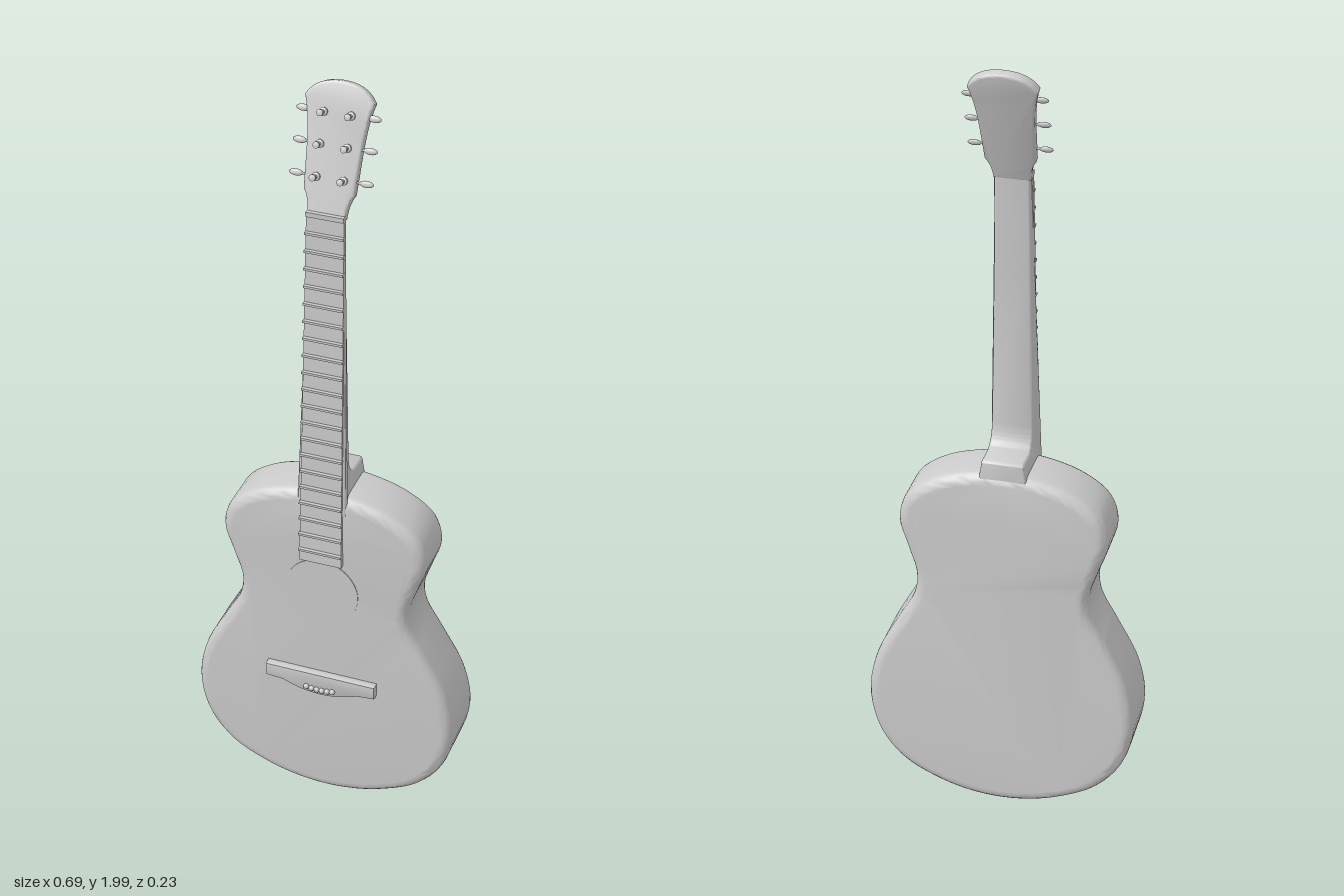
import * as THREE from 'three';
import { toCreasedNormals } from 'three/addons/utils/BufferGeometryUtils.js';

const material = new THREE.MeshStandardMaterial({ color: 0xcccccc, roughness: 0.7 });

// Front surface of the fretboard, sloping back towards the nut
const boardZ = (y) => 0.1 - 0.042 * (y - 0.75);

function add(parent, name, geometry, x = 0, y = 0, z = 0) {
  const mesh = new THREE.Mesh(geometry, material);
  mesh.name = name;
  mesh.position.set(x, y, z);
  parent.add(mesh);
  return mesh;
}

// Full symmetric shape from its right half, listed bottom to top
function mirrored(half) {
  const left = half.filter(([x]) => x > 0).reverse().map(([x, y]) => [-x, y]);
  return [...half, ...left];
}

function smoothShape(points, count) {
  const curve = new THREE.CatmullRomCurve3(
    points.map(([x, y]) => new THREE.Vector3(x, y, 0)), true, 'centripetal');
  const samples = curve.getPoints(count).slice(0, -1);
  return new THREE.Shape(samples.map((p) => new THREE.Vector2(p.x, p.y)));
}

const straightShape = (points) => new THREE.Shape(points.map(([x, y]) => new THREE.Vector2(x, y)));

// Extrusion whose rounded edges stay inside the outline; z runs 0..depth
function slab(shape, depth, round, segments = 4) {
  const geometry = new THREE.ExtrudeGeometry(shape, {
    depth: depth - 2 * round, bevelEnabled: round > 0, bevelThickness: round,
    bevelSize: round, bevelOffset: -round, bevelSegments: segments, curveSegments: 16,
  });
  return geometry.translate(0, 0, round);
}

function moveVertices(geometry, rule) {
  const pos = geometry.attributes.position;
  const v = new THREE.Vector3();
  for (let i = 0; i < pos.count; i++) {
    rule(v.fromBufferAttribute(pos, i));
    pos.setXYZ(i, v.x, v.y, v.z);
  }
  return toCreasedNormals(geometry, 0.65);
}

function bodyGeometry() {
  const outline = mirrored([
    [0, 0.003], [0.08, 0.01], [0.16, 0.032], [0.254, 0.08], [0.32, 0.16], [0.347, 0.27],
    [0.328, 0.385], [0.27, 0.5], [0.228, 0.58], [0.222, 0.64], [0.243, 0.71], [0.266, 0.79],
    [0.245, 0.862], [0.175, 0.915], [0.085, 0.943], [0, 0.95],
  ]);
  const geometry = slab(smoothShape(outline, 128), 0.21, 0.028, 5);
  // The back slopes so that the body is deeper at the bottom
  return moveVertices(geometry, (v) => {
    if (v.z < 0.1) v.z += 0.006 + 0.055 * v.y;
    v.z -= 0.123;
  });
}

function neckGeometry() {
  // Side profile in (z, y) with the curved heel
  const s = new THREE.Shape();
  s.moveTo(0.02, 0.9);
  s.lineTo(boardZ(0.9) - 0.005, 0.9);
  s.lineTo(boardZ(1.71) - 0.005, 1.71);
  s.lineTo(0.033, 1.71);
  s.lineTo(0.038, 1.5);
  s.lineTo(0.034, 1.05);
  s.quadraticCurveTo(0.032, 0.988, -0.005, 0.986);
  s.lineTo(-0.05, 0.986);
  s.quadraticCurveTo(-0.061, 0.986, -0.061, 0.972);
  s.lineTo(-0.061, 0.9);
  s.closePath();
  const geometry = slab(s, 0.1, 0.008).translate(0, 0, -0.05).rotateY(-Math.PI / 2);
  // Taper towards the nut and flare where the heel meets the body
  return moveVertices(geometry, (v) => {
    const flare = Math.max(0, 1.02 - v.y) / 0.12;
    v.x *= 1.06 - 0.2 * (v.y - 0.95) / 0.76 + 0.25 * flare * flare;
  });
}

function fretboardGeometry() {
  const shape = straightShape([[-0.055, 0.75], [0.055, 0.75], [0.046, 1.71], [-0.046, 1.71]]);
  return moveVertices(slab(shape, 0.014, 0), (v) => { v.z += boardZ(v.y) - 0.014; });
}

function makeHeadstock() {
  const head = new THREE.Group();
  head.name = 'headstock';
  head.position.set(0, 1.7, 0.05);
  head.rotation.x = -0.337;

  const shape = new THREE.Shape();
  shape.moveTo(-0.045, 0);
  shape.lineTo(0.045, 0);
  shape.quadraticCurveTo(0.047, 0.04, 0.061, 0.058);
  shape.lineTo(0.065, 0.15);
  shape.quadraticCurveTo(0.069, 0.23, 0.083, 0.27);
  shape.quadraticCurveTo(0.06, 0.312, 0, 0.312);
  shape.quadraticCurveTo(-0.06, 0.312, -0.083, 0.27);
  shape.quadraticCurveTo(-0.069, 0.23, -0.065, 0.15);
  shape.lineTo(-0.061, 0.058);
  shape.quadraticCurveTo(-0.047, 0.04, -0.045, 0);
  add(head, 'headstockPlate', toCreasedNormals(slab(shape, 0.026, 0.005, 3), 0.65), 0, 0, -0.018);

  // Three tuners on each side: a collared post, a shaft and an oval knob
  const postProfile = [[0, 0], [0.01, 0], [0.01, 0.006], [0.005, 0.009], [0.005, 0.02],
    [0.008, 0.023], [0.008, 0.03], [0, 0.033]].map(([x, y]) => new THREE.Vector2(x, y));
  const post = toCreasedNormals(new THREE.LatheGeometry(postProfile, 14).rotateX(Math.PI / 2), 0.6);
  const shaft = new THREE.CylinderGeometry(0.003, 0.003, 0.04, 8).rotateZ(Math.PI / 2);
  const knob = new THREE.SphereGeometry(1, 14, 10).scale(0.017, 0.008, 0.005);
  for (const side of [-1, 1]) {
    for (const v of [0.09, 0.165, 0.238]) {
      add(head, 'tunerPost', post, side * 0.033, v, 0.007);
      add(head, 'tunerShaft', shaft, side * 0.066, v, -0.001);
      add(head, 'tunerKnob', knob, side * 0.085, v, -0.001);
    }
  }
  return head;
}

function makeBridge() {
  const bridge = new THREE.Group();
  bridge.name = 'bridge';
  const shape = new THREE.Shape();
  shape.moveTo(-0.147, 0.399);
  shape.lineTo(-0.147, 0.362);
  shape.lineTo(-0.1, 0.358);
  shape.quadraticCurveTo(-0.05, 0.336, 0, 0.336);
  shape.quadraticCurveTo(0.05, 0.336, 0.1, 0.358);
  shape.lineTo(0.147, 0.362);
  shape.lineTo(0.147, 0.399);
  shape.closePath();
  add(bridge, 'bridgePlate', toCreasedNormals(slab(shape, 0.026, 0.004, 2), 0.6), 0, 0, 0.082);
  const pin = new THREE.SphereGeometry(0.0075, 12, 8);
  for (let i = 0; i < 6; i++) {
    const x = -0.035 + i * 0.014;
    add(bridge, 'bridgePin', pin, x, 0.353 + 3 * x * x, 0.11);
  }
  return bridge;
}

export function createModel() {
  const guitar = new THREE.Group();
  guitar.name = 'guitar';
  add(guitar, 'body', bodyGeometry());
  add(guitar, 'neck', neckGeometry());
  add(guitar, 'fretboard', fretboardGeometry());

  // Sound hole disc
  add(guitar, 'soundHole', new THREE.CylinderGeometry(0.095, 0.095, 0.004, 48).rotateX(Math.PI / 2),
    0, 0.656, 0.0865);

  // Evenly spaced frets and the nut
  for (let i = 0; i < 20; i++) {
    const y = 0.785 + i * 0.046;
    const width = 0.112 - 0.019 * (y - 0.75);
    add(guitar, 'fret', new THREE.BoxGeometry(width, 0.006, 0.012), 0, y, boardZ(y) + 0.003);
  }
  add(guitar, 'nut', new THREE.BoxGeometry(0.092, 0.012, 0.018), 0, 1.706, boardZ(1.706) - 0.004);

  guitar.add(makeHeadstock(), makeBridge());
  return guitar;
}
